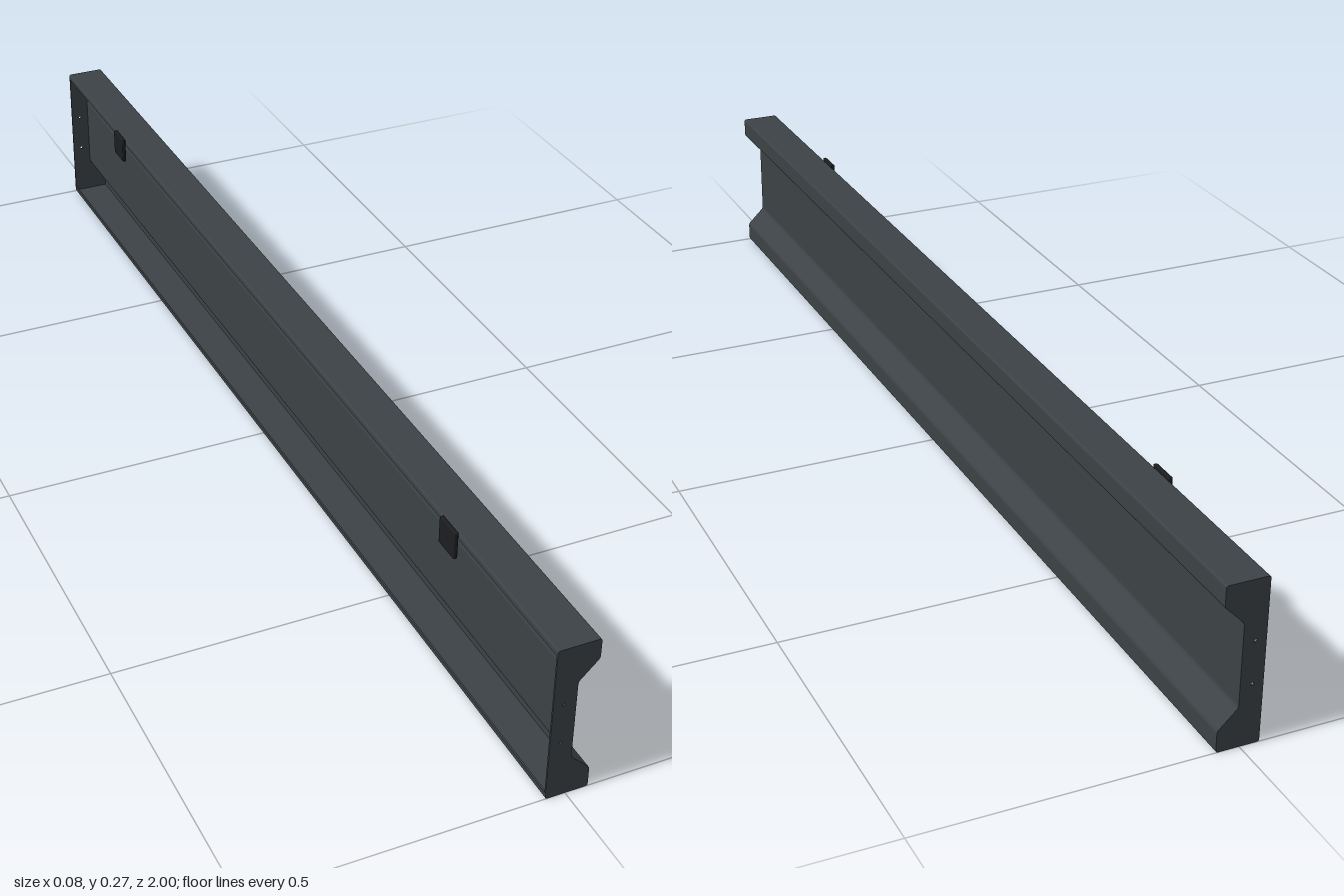
import * as THREE from 'three';
import { RoundedBoxGeometry } from 'three/addons/geometries/RoundedBoxGeometry.js';

const HALF = 1, T = 0.003, TOP = 0.269, BACK = -0.032, FRONT = 0.037, WEB = 0.005;

// Channel outline seen from the front, from the back bottom corner anticlockwise.
const outline = [
  [BACK, 0], [FRONT, 0], [FRONT, 0.035], [WEB, 0.066],
  [WEB, 0.203], [FRONT, 0.235], [FRONT, TOP], [BACK, TOP],
].map(([x, y]) => new THREE.Vector2(x, y));

// Replace each corner by a short bend.
function bend(points, r, closed) {
  const n = points.length, out = [];
  points.forEach((p, i) => {
    if (!closed && (i === 0 || i === n - 1)) { out.push(p.clone()); return; }
    const toward = (q) => q.clone().sub(p).setLength(r).add(p);
    const a = toward(points[(i + n - 1) % n]), b = toward(points[(i + 1) % n]);
    out.push(...new THREE.QuadraticBezierCurve(a, p, b).getPoints(4));
  });
  return out;
}

// Shift an open path to its left by a distance, with mitred corners.
function offset(points, d) {
  const normal = (a, b) => new THREE.Vector2(a.y - b.y, b.x - a.x).normalize();
  return points.map((p, i) => {
    const n1 = normal(points[Math.max(i - 1, 0)], points[Math.max(i, 1)]);
    const last = points.length - 1;
    const n2 = normal(points[Math.min(i, last - 1)], points[Math.min(i + 1, last)]);
    const m = n1.clone().add(n2).normalize();
    return p.clone().addScaledVector(m, d / m.dot(n1));
  });
}

function extrude(shape, z0, z1) {
  const g = new THREE.ExtrudeGeometry(shape, { depth: z1 - z0, bevelEnabled: false, curveSegments: 8 });
  return g.translate(0, 0, z0);
}

export function createModel() {
  const group = new THREE.Group();
  const steel = new THREE.MeshStandardMaterial({ color: 0x3c4245 });
  const black = new THREE.MeshStandardMaterial({ color: 0x1b1d1f });
  const add = (name, geometry, material) => {
    const mesh = new THREE.Mesh(geometry, material);
    mesh.name = name;
    group.add(mesh);
    return mesh;
  };

  // Folded sheet, open at the back with two short return lips
  const lip = 0.01;
  const path = bend([
    new THREE.Vector2(BACK, lip), ...outline, new THREE.Vector2(BACK, TOP - lip),
  ], 0.004, false);
  const sheet = new THREE.Shape([...path, ...offset(path, T).reverse()]);
  add('channelPanel', extrude(sheet, -HALF + T, HALF - T), steel);

  // End plates with two screw holes each
  const plate = new THREE.Shape(bend(outline, 0.004, true));
  for (const y of [0.1, 0.17]) {
    plate.holes.push(new THREE.Path().absarc(-0.015, y, 0.0025, 0, Math.PI * 2, true));
  }
  add('frontEndPlate', extrude(plate, HALF - T, HALF), steel);
  add('rearEndPlate', extrude(plate, -HALF, -HALF + T), steel);

  // Mounting clips on the open side
  for (const [side, z] of [['front', 0.691], ['rear', -0.691]]) {
    const clip = add(`${side}Clip`, new RoundedBoxGeometry(0.007, 0.047, 0.048, 2, 0.002), black);
    clip.position.set(-0.0355, 0.2485, z);
  }
  return group;
}
